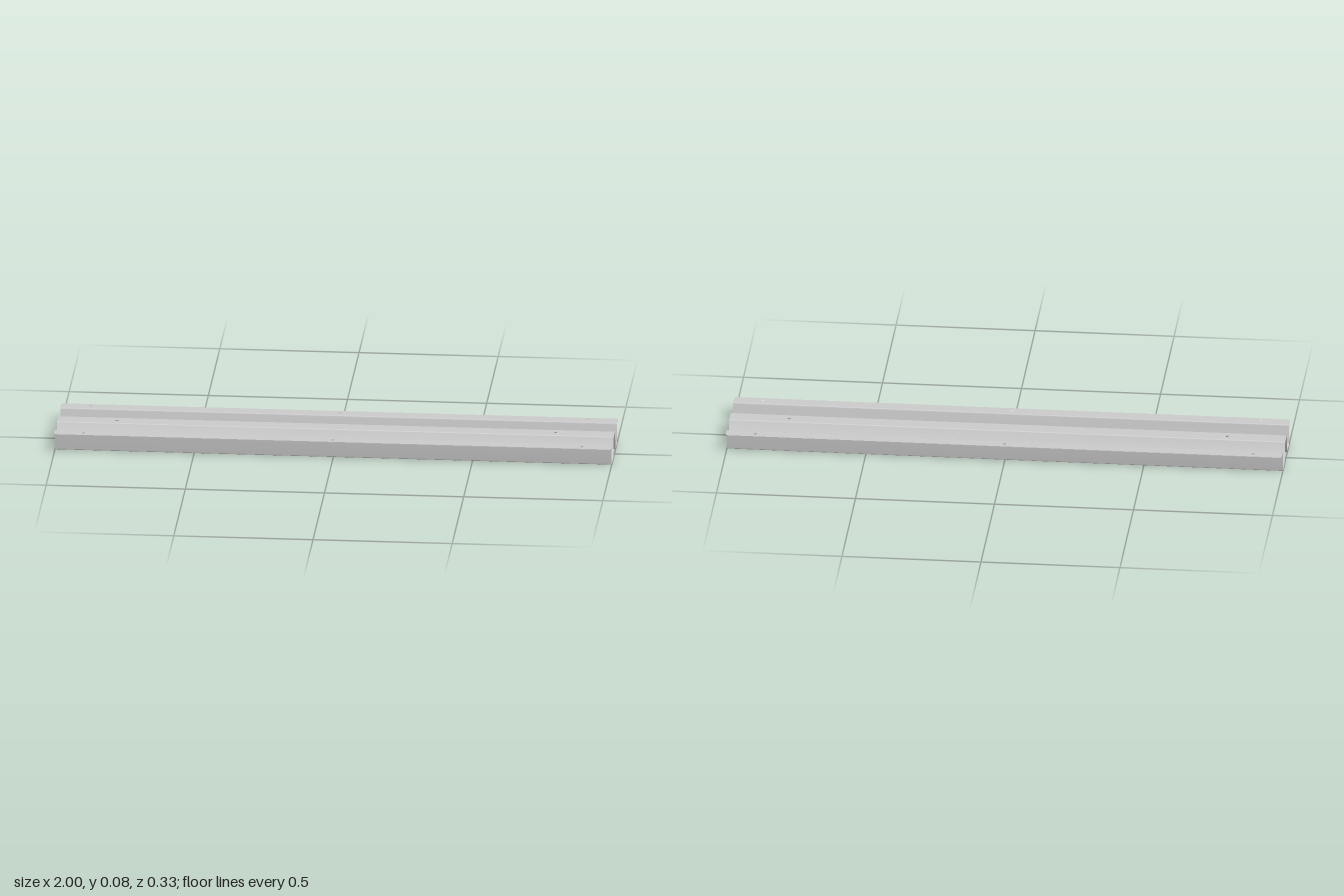
import * as THREE from 'three';
import { toCreasedNormals } from 'three/addons/utils/BufferGeometryUtils.js';

const LENGTH = 2, H = 0.075, T = 0.002;       // rail length, height, sheet thickness
const BEND = 0.003, HOLE = 0.006, CORNER = 0.01;
const WALL = 0.117, FOOT = 0.048, CROWN = 0.029, EDGE = 0.165;

export function createModel() {
  const group = new THREE.Group();
  const material = new THREE.MeshStandardMaterial({ color: 0xcccccc });
  const add = (name, geometry) => {
    const mesh = new THREE.Mesh(toCreasedNormals(geometry, 0.6), material);
    mesh.name = name;
    group.add(mesh);
  };

  // Closed outline of a folded sheet: centre line with rounded bends, offset both ways
  const foldedSheet = (points) => {
    const p = points.map(([x, y]) => new THREE.Vector2(x, y));
    const upper = [], lower = [];
    const emit = (at, tangent) => {
      const n = new THREE.Vector2(-tangent.y, tangent.x).normalize().multiplyScalar(T / 2);
      upper.push(at.clone().add(n));
      lower.unshift(at.clone().sub(n));
    };
    const dir = (i) => p[i + 1].clone().sub(p[i]).normalize();
    emit(p[0], dir(0));
    for (let i = 1; i < p.length - 1; i++) {
      const bend = new THREE.QuadraticBezierCurve(
        p[i].clone().addScaledVector(dir(i - 1), -BEND), p[i],
        p[i].clone().addScaledVector(dir(i), BEND));
      for (let k = 0; k <= 6; k++) emit(bend.getPoint(k / 6), bend.getTangent(k / 6));
    }
    emit(p[p.length - 1], dir(p.length - 2));
    return new THREE.Shape([...upper, ...lower]);
  };

  // Flat top plate with drilled holes, lying at the height of the rail's top
  const plate = (shape, holes) => {
    for (const [x, y] of holes) {
      const hole = new THREE.Path();
      hole.absarc(x, y, HOLE, 0, Math.PI * 2, true);
      shape.holes.push(hole);
    }
    return new THREE.ExtrudeGeometry(shape, { depth: T, bevelEnabled: false, curveSegments: 12 })
      .rotateX(-Math.PI / 2).translate(0, H - T, 0);
  };

  const top = H - T / 2, bottom = T / 2, half = LENGTH / 2;
  const inner = WALL + BEND, crown = CROWN - BEND;

  for (const [side, s] of [['front', -1], ['back', 1]]) {
    // Trough: outer wall, floor and sloping inner web
    const outline = foldedSheet([
      [inner, top], [WALL, top], [WALL, bottom], [FOOT, bottom], [CROWN, top], [crown, top],
    ].map(([z, y]) => [s * z, y]));
    add(side + 'Trough', new THREE.ExtrudeGeometry(outline, { depth: LENGTH, bevelEnabled: false })
      .rotateY(Math.PI / 2).translate(-half, 0, 0));

    // Outer flange with rounded free corners and three fixing holes
    const flange = new THREE.Shape();
    flange.moveTo(-half, s * inner);
    flange.lineTo(half, s * inner);
    flange.lineTo(half, s * (EDGE - CORNER));
    flange.quadraticCurveTo(half, s * EDGE, half - CORNER, s * EDGE);
    flange.lineTo(-half + CORNER, s * EDGE);
    flange.quadraticCurveTo(-half, s * EDGE, -half, s * (EDGE - CORNER));
    flange.closePath();
    add(side + 'Flange', plate(flange, [-0.895, 0, 0.895].map((x) => [x, s * 0.143])));
  }

  // Central ridge top with two holes
  const ridge = new THREE.Shape([[-half, -crown], [half, -crown], [half, crown], [-half, crown]]
    .map(([x, y]) => new THREE.Vector2(x, y)));
  add('ridgeTop', plate(ridge, [[-0.788, 0], [0.788, 0]]));

  return group;
}
